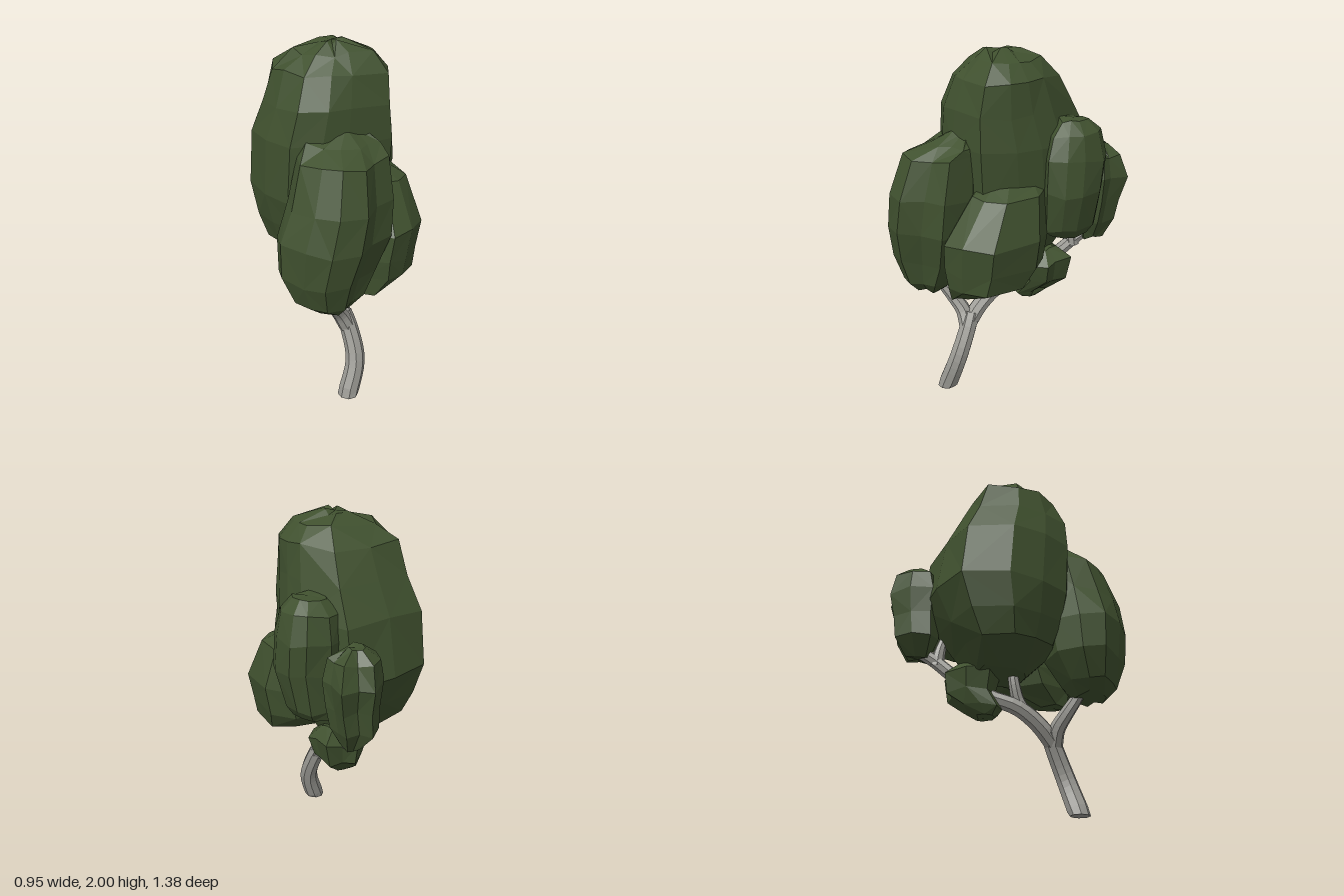
import * as THREE from 'three';

const leafGreen = new THREE.MeshStandardMaterial({ color: 0x40512f, flatShading: true });
leafGreen.name = 'leafGreen';
const barkGrey = new THREE.MeshStandardMaterial({ color: 0x9b9a94, flatShading: true });
barkGrey.name = 'barkGrey';

// Small seeded generator, -1..1
function seeded(seed) {
  let s = seed;
  return () => {
    s = (s * 16807) % 2147483647;
    return (s / 2147483647) * 2 - 1;
  };
}

// Plan outlines, walked from +x towards +z, inside a -1..1 square
const crownPlan = [[1, 0.2], [0.96, 0.66], [0.32, 0.9], [-0.03, 1], [-0.48, 0.93], [-0.8, 0.58],
  [-1, 0.14], [-0.96, -0.48], [-0.4, -0.78], [0.26, -1], [0.76, -0.5], [0.92, -0.15]];
const frontPlan = [[1, 0.05], [0.62, 0.4], [0.4, 0.86], [-0.1, 1], [-0.52, 0.75], [-0.94, 0.35],
  [-1, -0.2], [-0.6, -0.75], [0, -1], [0.75, -0.6]];
const sidePlan = [[1, 0.24], [0.65, 0.75], [0.2, 1], [-0.5, 0.8], [-1, 0.1], [-0.6, -0.75], [0.1, -1], [0.7, -0.7]];
const backPlan = [[0.97, 0.5], [0.7, 1], [-0.2, 0.95], [-0.9, 0.5], [-1, -0.45], [-0.5, -0.93], [0.25, -1], [0.7, -0.75], [1, -0.05]];
const lumpPlan = [[1, 0.1], [0.65, 0.75], [-0.1, 1], [-0.95, 0.65], [-0.95, -0.2], [-0.5, -1], [0, -0.8], [0.55, -0.97], [0.75, -0.25]];

// Faceted foliage mass: rings are [y, xMin, xMax, zMin, zMax]
function foliage(name, plan, rings, seed, rough) {
  const rand = seeded(seed);
  const n = plan.length;
  const centre = (r) => [(r[1] + r[2]) / 2, r[0], (r[3] + r[4]) / 2];
  const grid = rings.map((r) => plan.map(([px, pz]) => {
    const [cx, y, cz] = centre(r);
    const k = 1 + rand() * rough;
    return [cx + px * k * (r[2] - r[1]) / 2, y + rand() * 0.014, cz + pz * k * (r[4] - r[3]) / 2];
  }));
  const pos = [];
  const tri = (a, b, c) => pos.push(...a, ...b, ...c);
  const last = rings.length - 1;
  const low = centre(rings[0]);
  const high = centre(rings[last]);
  for (let j = 0; j < n; j++) {
    const k = (j + 1) % n;
    for (let i = 0; i < last; i++) {
      const a = grid[i][j], b = grid[i][k], c = grid[i + 1][j], d = grid[i + 1][k];
      if ((i + j) % 2) { tri(a, c, b); tri(b, c, d); } else { tri(a, c, d); tri(a, d, b); }
    }
    tri(low, grid[0][j], grid[0][k]);
    tri(high, grid[last][k], grid[last][j]);
  }
  const geo = new THREE.BufferGeometry();
  geo.setAttribute('position', new THREE.Float32BufferAttribute(pos, 3));
  geo.computeVertexNormals();
  const mesh = new THREE.Mesh(geo, leafGreen);
  mesh.name = name;
  return mesh;
}

// Tapered limb along a smooth curve
function limb(name, points, r0, r1, grounded = false) {
  const curve = new THREE.CatmullRomCurve3(points.map((p) => new THREE.Vector3(...p)));
  const steps = points.length * 3, sides = 8;
  const geo = new THREE.TubeGeometry(curve, steps, 1, sides, false);
  const pos = geo.attributes.position;
  const v = new THREE.Vector3();
  for (let i = 0; i <= steps; i++) {
    const c = curve.getPointAt(i / steps);
    const r = THREE.MathUtils.lerp(r0, r1, i / steps);
    for (let j = 0; j <= sides; j++) {
      const id = i * (sides + 1) + j;
      v.fromBufferAttribute(pos, id).sub(c).multiplyScalar(r).add(c);
      if (grounded && i === 0) v.y = 0;
      pos.setXYZ(id, v.x, v.y, v.z);
    }
  }
  geo.computeVertexNormals();
  const mesh = new THREE.Mesh(geo, barkGrey);
  mesh.name = name;
  return mesh;
}

export function createModel() {
  const tree = new THREE.Group();
  tree.name = 'tree';

  // Leaning trunk and its forks
  const wood = new THREE.Group();
  wood.name = 'trunkAndBranches';
  wood.add(
    limb('trunk', [[0.045, 0, 0.395], [0.093, 0.2, 0.335], [0.06, 0.38, 0.265], [0.03, 0.46, 0.235]], 0.06, 0.05, true),
    limb('frontBranch', [[0.05, 0.39, 0.265], [0.01, 0.47, 0.28], [-0.03, 0.55, 0.33], [-0.06, 0.64, 0.39],
      [-0.08, 0.74, 0.43]], 0.05, 0.028),
    limb('backBranch', [[0.05, 0.4, 0.26], [0.01, 0.49, 0.18], [-0.02, 0.58, 0.06], [-0.02, 0.64, -0.1],
      [-0.02, 0.75, -0.29], [0, 0.86, -0.42], [0, 0.92, -0.52]], 0.052, 0.036),
    limb('crownBranch', [[-0.01, 0.53, 0.12], [-0.02, 0.61, 0.065], [-0.04, 0.7, 0.04], [-0.05, 0.85, 0.02]], 0.042, 0.026),
    limb('upperBranch', [[0, 0.82, -0.4], [0, 0.92, -0.385], [0.02, 1.06, -0.345]], 0.042, 0.018),
  );
  const foot = new THREE.Mesh(new THREE.CircleGeometry(0.057, 8), barkGrey);
  foot.name = 'trunkFoot';
  foot.rotation.x = Math.PI / 2;
  foot.position.set(0.045, 0.001, 0.395);
  wood.add(foot);
  tree.add(wood);

  // Foliage masses
  tree.add(
    foliage('mainCrown', crownPlan, [
      [0.75, -0.2, 0.1, -0.22, 0.1], [0.87, -0.38, 0.2, -0.3, 0.25], [1.0, -0.43, 0.26, -0.4, 0.31],
      [1.18, -0.475, 0.28, -0.5, 0.35], [1.5, -0.45, 0.295, -0.46, 0.36], [1.68, -0.385, 0.29, -0.37, 0.35],
      [1.85, -0.335, 0.275, -0.28, 0.29], [1.94, -0.22, 0.2, -0.17, 0.2], [1.99, -0.08, 0.04, -0.07, 0.13]], 11, 0.02),
    foliage('frontFoliage', frontPlan, [
      [0.63, -0.17, 0.04, 0.36, 0.55], [0.69, -0.26, 0.12, 0.3, 0.61], [0.83, -0.335, 0.18, 0.2, 0.66],
      [1.03, -0.34, 0.26, 0.16, 0.69], [1.22, -0.28, 0.28, 0.15, 0.665], [1.45, -0.22, 0.25, 0.15, 0.59],
      [1.51, -0.19, 0.22, 0.16, 0.43], [1.57, -0.03, 0.11, 0.2, 0.3]], 23, 0.025),
    foliage('leftFoliage', sidePlan, [
      [0.65, 0.1, 0.25, 0.18, 0.38], [0.75, 0.02, 0.42, -0.05, 0.41], [0.85, 0.0, 0.44, -0.14, 0.43],
      [1.02, 0, 0.475, -0.155, 0.43], [1.26, 0.05, 0.39, -0.14, 0.27], [1.3, 0.1, 0.3, -0.12, 0.2]], 37, 0.02),
    foliage('backLeftFoliage', backPlan, [
      [0.98, 0.05, 0.28, -0.42, -0.18], [1.03, 0.02, 0.32, -0.45, -0.14], [1.25, 0.02, 0.37, -0.475, -0.13],
      [1.43, 0.02, 0.36, -0.49, -0.14], [1.57, 0.04, 0.33, -0.46, -0.17], [1.64, 0.1, 0.27, -0.39, -0.23]], 41, 0.03),
    foliage('rearFoliage', lumpPlan, [
      [0.87, -0.05, 0.07, -0.58, -0.44], [0.97, -0.14, 0.12, -0.64, -0.4], [1.11, -0.14, 0.15, -0.66, -0.4],
      [1.25, -0.155, 0.17, -0.69, -0.38], [1.37, -0.13, 0.14, -0.65, -0.42], [1.43, -0.05, 0.05, -0.59, -0.49]], 59, 0.06),
    foliage('lowFoliage', lumpPlan, [
      [0.51, -0.1, 0.04, -0.17, -0.07], [0.56, -0.13, 0.06, -0.24, -0.03], [0.65, -0.13, 0.15, -0.34, -0.07],
      [0.77, -0.16, 0.19, -0.36, -0.05], [0.84, -0.08, 0.1, -0.28, -0.13]], 67, 0.06),
  );
  return tree;
}
